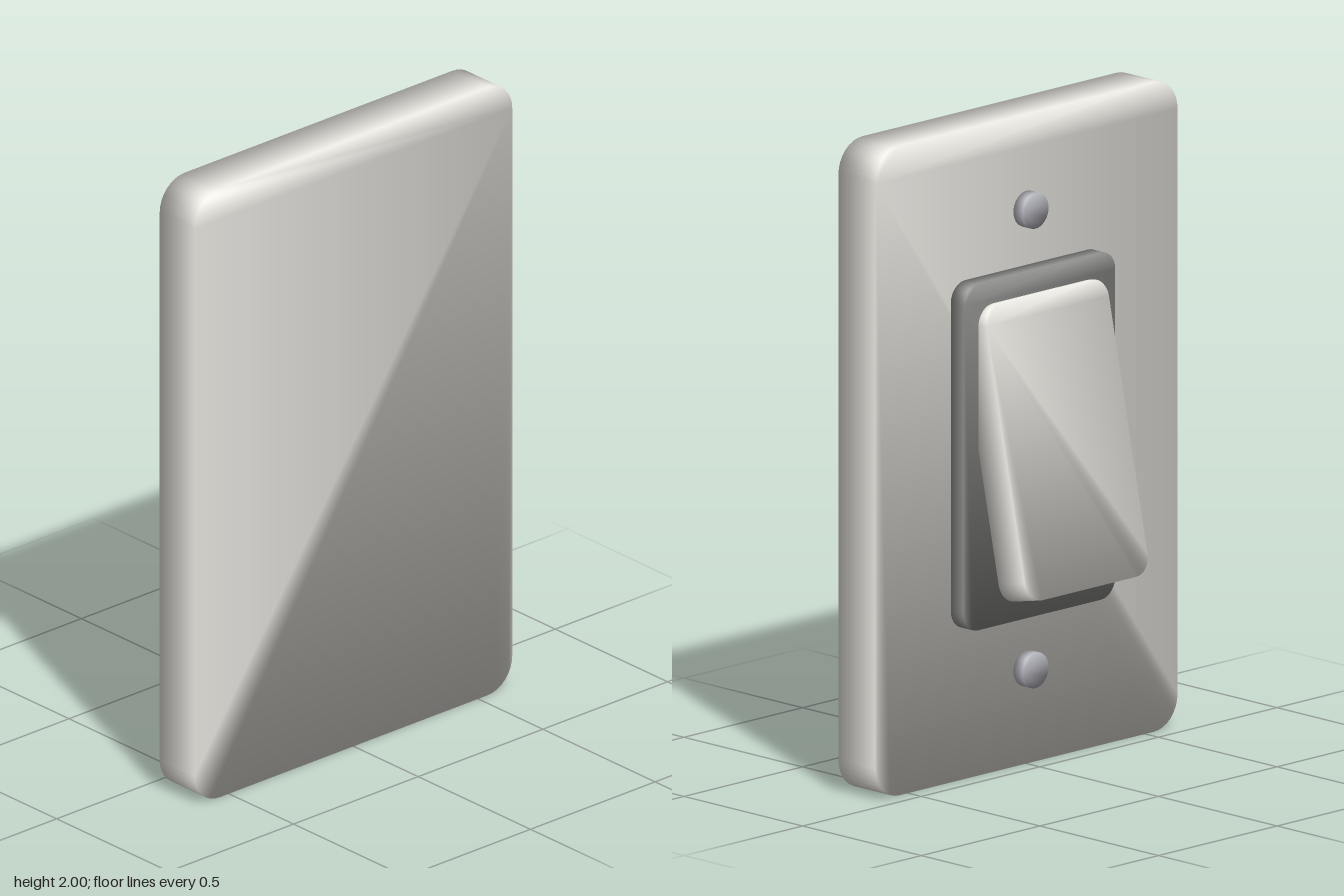
import * as THREE from 'three';

const ivory = new THREE.MeshStandardMaterial({ color: 0xe8e6e0 });
const darkGrey = new THREE.MeshStandardMaterial({ color: 0x8c8c8a });
const steel = new THREE.MeshStandardMaterial({ color: 0xb0b0b8 });

// Slab with rounded corners, centred on its own origin. Front, back and rim
// share their vertices, so the shading runs softly over every edge.
function softSlab(name, width, height, depth, radius, material) {
  const steps = 8;
  const ring = 4 * (steps + 1);
  const positions = [], normals = [], index = [];

  // Front ring, then back ring, counter-clockwise from the upper right corner
  for (const side of [1, -1]) {
    for (let corner = 0; corner < 4; corner++) {
      const cx = (corner === 0 || corner === 3 ? 1 : -1) * (width / 2 - radius);
      const cy = (corner < 2 ? 1 : -1) * (height / 2 - radius);
      for (let i = 0; i <= steps; i++) {
        const angle = (corner + i / steps) * Math.PI / 2;
        const c = Math.cos(angle), s = Math.sin(angle);
        positions.push(cx + radius * c, cy + radius * s, side * depth / 2);
        normals.push(c * Math.SQRT1_2, s * Math.SQRT1_2, side * Math.SQRT1_2);
      }
    }
  }

  // Rim quads and the two faces, fanned from the first corner point
  for (let i = 0; i < ring; i++) {
    const j = (i + 1) % ring;
    index.push(i, ring + i, j, j, ring + i, ring + j);
    if (i > 0 && j > 0) index.push(0, i, j, ring, ring + j, ring + i);
  }

  const geometry = new THREE.BufferGeometry();
  geometry.setAttribute('position', new THREE.Float32BufferAttribute(positions, 3));
  geometry.setAttribute('normal', new THREE.Float32BufferAttribute(normals, 3));
  geometry.setIndex(index);
  const mesh = new THREE.Mesh(geometry, material);
  mesh.name = name;
  return mesh;
}

export function createModel() {
  const model = new THREE.Group();
  model.name = 'wallSwitch';

  // Wall plate
  const plate = softSlab('wallPlate', 1.274, 2, 0.156, 0.1, ivory);
  plate.position.set(0, 1, 0.134);
  model.add(plate);

  // Raised frame around the rocker
  const frame = softSlab('rockerFrame', 0.638, 1.068, 0.058, 0.06, darkGrey);
  frame.position.set(0, 1.001, 0.03);
  model.add(frame);

  // Tilted rocker, its upper end sunk into the frame
  const rocker = softSlab('rocker', 0.516, 0.9, 0.114, 0.06, ivory);
  rocker.position.set(0, 1.015, -0.059);
  rocker.rotation.x = THREE.MathUtils.degToRad(12);
  model.add(rocker);

  // Screw heads above and below the frame
  for (const [name, y] of [['upperScrew', 1.708], ['lowerScrew', 0.294]]) {
    const screw = softSlab(name, 0.11, 0.11, 0.04, 0.055, steel);
    screw.position.set(0, y, 0.038);
    model.add(screw);
  }

  return model;
}
